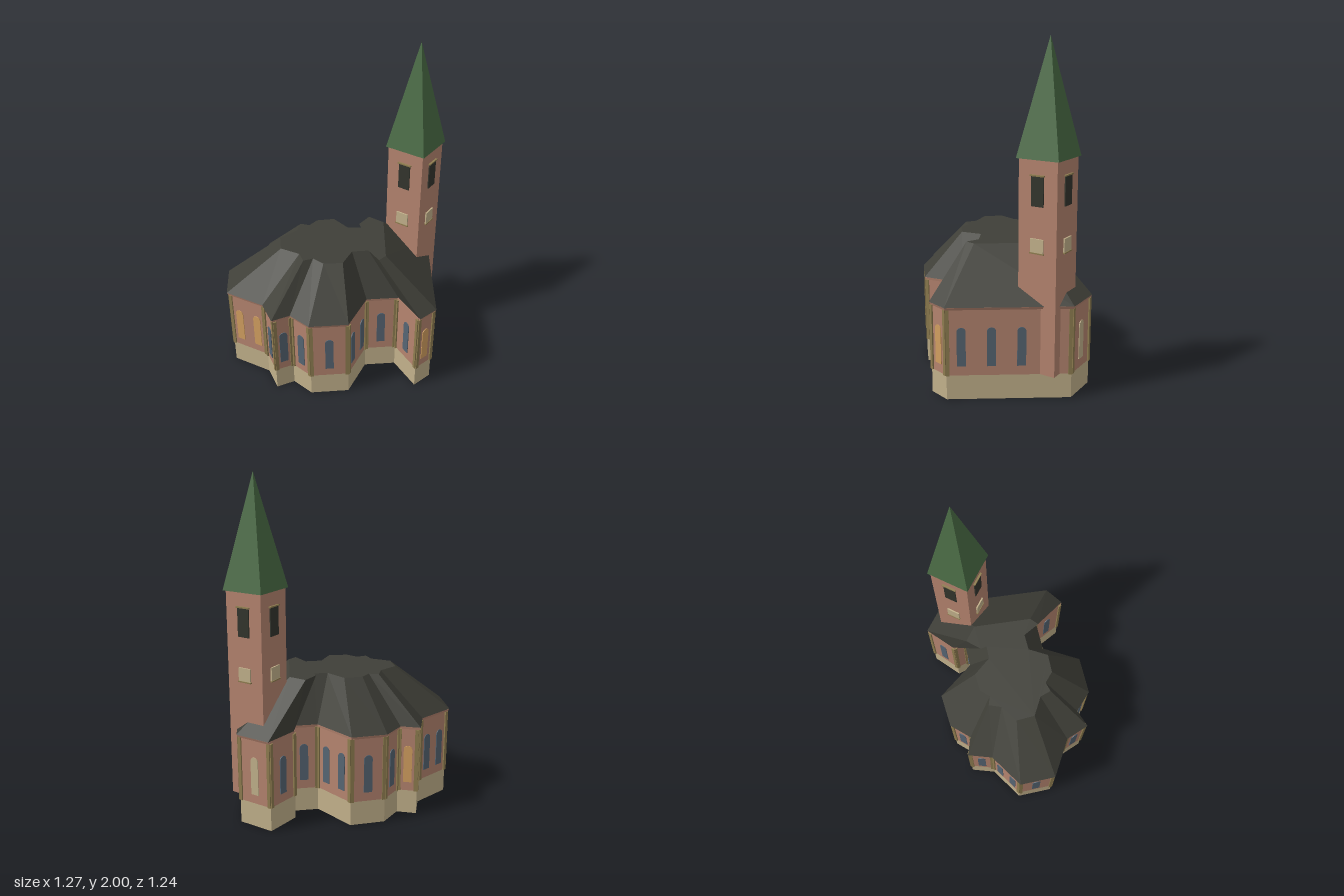
import * as THREE from 'three';

const mat = (name, color, side = THREE.FrontSide) => {
  const m = new THREE.MeshStandardMaterial({ color, side });
  m.name = name;
  return m;
};

// Footprint corners [x, z] at the eaves, and the matching corners of the flat roof top
const EAVES = [
  [0.01, -0.62], [0.23, -0.62], [0.635, -0.03], [0.60, 0.10], [0.39, 0.005], [0.24, 0.13], [0.28, 0.38],
  [0.10, 0.53], [-0.05, 0.515], [-0.11, 0.615], [-0.245, 0.535], [-0.50, 0.57], [-0.64, 0.395],
  [-0.565, 0.16], [-0.62, 0.015], [-0.51, -0.025], [-0.50, -0.175], [-0.35, -0.32], [-0.08, -0.25],
  [0.05, -0.36], [-0.02, -0.41],
];
const CROWN = [
  [-0.025, -0.29], [0.085, -0.29], [0.29, 0.005], [0.28, 0.065], [0.175, 0.02], [0.10, 0.085], [0.12, 0.21],
  [0.03, 0.28], [-0.05, 0.275], [-0.085, 0.325], [-0.145, 0.285], [-0.27, 0.305], [-0.345, 0.22],
  [-0.31, 0.10], [-0.335, 0.025], [-0.28, 0.005], [-0.275, -0.065], [-0.195, -0.14], [-0.065, -0.11],
  [0, -0.16], [-0.03, -0.185],
];
const BASE_TOP = 0.145, EAVE_Y = 0.55, CROWN_Y = 0.825;

const scaled = (ring, s) => ring.map(([x, z]) => [x * s, z * s]);

// Flat-sided strip joining a lower ring to an upper ring
function band(lower, y0, upper, y1) {
  const pos = [];
  lower.forEach(([ax, az], i) => {
    const j = (i + 1) % lower.length;
    const a = [ax, y0, az], b = [lower[j][0], y0, lower[j][1]];
    const c = [upper[j][0], y1, upper[j][1]], d = [upper[i][0], y1, upper[i][1]];
    pos.push(...a, ...c, ...b, ...a, ...d, ...c);
  });
  const g = new THREE.BufferGeometry();
  g.setAttribute('position', new THREE.Float32BufferAttribute(pos, 3));
  g.computeVertexNormals();
  return g;
}

// Round-arched window plate, thin and centred on the wall plane
function archGeometry(w, h, depth) {
  const s = new THREE.Shape();
  s.moveTo(-w / 2, 0);
  s.lineTo(w / 2, 0);
  s.lineTo(w / 2, h - w / 2);
  s.absarc(0, h - w / 2, w / 2, 0, Math.PI);
  s.lineTo(-w / 2, 0);
  const g = new THREE.ExtrudeGeometry(s, { depth, bevelEnabled: false, curveSegments: 8 });
  return g.translate(0, 0, -depth / 2);
}

export function createModel() {
  const model = new THREE.Group();
  const brick = mat('brick', 0xb5846f, THREE.DoubleSide);
  const stone = mat('stone', 0xc2b18b, THREE.DoubleSide);
  const slate = mat('slate', 0x3f3f38, THREE.DoubleSide);
  const copper = mat('green copper', 0x4a6b45);
  const trim = mat('ochre trim', 0x8f7d50);
  const glass = mat('blue glass', 0x566573);
  const amber = mat('amber glass', 0xd3a060);
  const louvre = mat('dark louvre', 0x33352d);

  const add = (parent, name, geometry, material, x = 0, y = 0, z = 0) => {
    const m = new THREE.Mesh(geometry, material);
    m.name = name;
    m.position.set(x, y, z);
    parent.add(m);
    return m;
  };

  // Plinth, walls and cornice
  const walls = scaled(EAVES, 0.978);
  add(model, 'plinth', band(walls, 0, walls, BASE_TOP), stone);
  add(model, 'walls', band(walls, BASE_TOP, walls, EAVE_Y), brick);
  const cornice = scaled(EAVES, 0.99);
  add(model, 'corniceUnderside', band(walls, 0.535, cornice, 0.535), brick);
  add(model, 'cornice', band(cornice, 0.535, scaled(EAVES, 0.998), 0.549), brick);

  // Hipped roof with a flat crown
  add(model, 'roofSlopes', band(EAVES, EAVE_Y, CROWN, CROWN_Y), slate);
  const crown = new THREE.ShapeGeometry(new THREE.Shape(CROWN.map(([x, z]) => new THREE.Vector2(x, -z))));
  crown.rotateX(-Math.PI / 2);
  add(model, 'roofCrown', crown, slate, 0, CROWN_Y, 0);

  // Windows and corner pilasters on every wall; positions are fractions along the wall
  const windows = {
    1: [0.40, 0.64, 0.88], 5: [0.24, 0.76], 10: [0.25, 0.75], 12: [0.27, 0.73], 17: [0.27, 0.73], 19: [],
  };
  const panes = { 0: stone, 2: amber, 10: amber, 14: amber };
  const pane = archGeometry(0.05, 0.23, 0.009);
  const pilasterHeight = 0.535 - BASE_TOP;
  const pilaster = new THREE.BoxGeometry(0.02, pilasterHeight, 0.018);
  walls.forEach(([x, z], i) => {
    const [x2, z2] = walls[(i + 1) % walls.length];
    const dx = x2 - x, dz = z2 - z, length = Math.hypot(dx, dz);
    const bay = new THREE.Group();
    bay.name = 'wallBay';
    bay.position.set((x + x2) / 2, 0, (z + z2) / 2);
    bay.rotation.y = Math.atan2(dz, -dx);
    for (const t of windows[i] ?? [0.5]) {
      add(bay, 'archedWindow', pane, panes[i] ?? glass, (0.5 - t) * length, 0.2, 0);
    }
    for (const s of [-1, 1]) {
      add(bay, 'cornerPilaster', pilaster, trim, s * (length / 2 - 0.008), BASE_TOP + pilasterHeight / 2, 0);
    }
    model.add(bay);
  });

  // Square tower with a pyramid spire
  const tower = new THREE.Group();
  tower.name = 'tower';
  tower.position.set(0.207, 0, -0.433);
  model.add(tower);
  const W = 0.236, TOP = 1.36;
  add(tower, 'towerShaft', new THREE.BoxGeometry(W, TOP - BASE_TOP, W), brick, 0, (TOP + BASE_TOP) / 2, 0);
  const spire = new THREE.ConeGeometry(0.13 * Math.SQRT2, 2 - TOP, 4, 1).toNonIndexed();
  spire.rotateY(Math.PI / 4);
  spire.computeVertexNormals();
  add(tower, 'spire', spire, copper, 0, (2 + TOP) / 2, 0);

  // Belfry opening, lintel and stone panel on each tower face
  for (let k = 0; k < 4; k++) {
    const face = new THREE.Group();
    face.name = 'towerFace';
    face.rotation.y = k * Math.PI / 2;
    add(face, 'belfryOpening', new THREE.BoxGeometry(0.075, 0.165, 0.008), louvre, 0, 1.19, W / 2 + 0.003);
    add(face, 'belfryLintel', new THREE.BoxGeometry(0.088, 0.008, 0.014), trim, 0, 1.276, W / 2 + 0.005);
    add(face, 'stonePanel', new THREE.BoxGeometry(0.08, 0.078, 0.009), stone, 0, 0.89, W / 2 + 0.004);
    add(face, 'panelSill', new THREE.BoxGeometry(0.088, 0.007, 0.014), trim, 0, 0.848, W / 2 + 0.005);
    tower.add(face);
  }
  return model;
}
